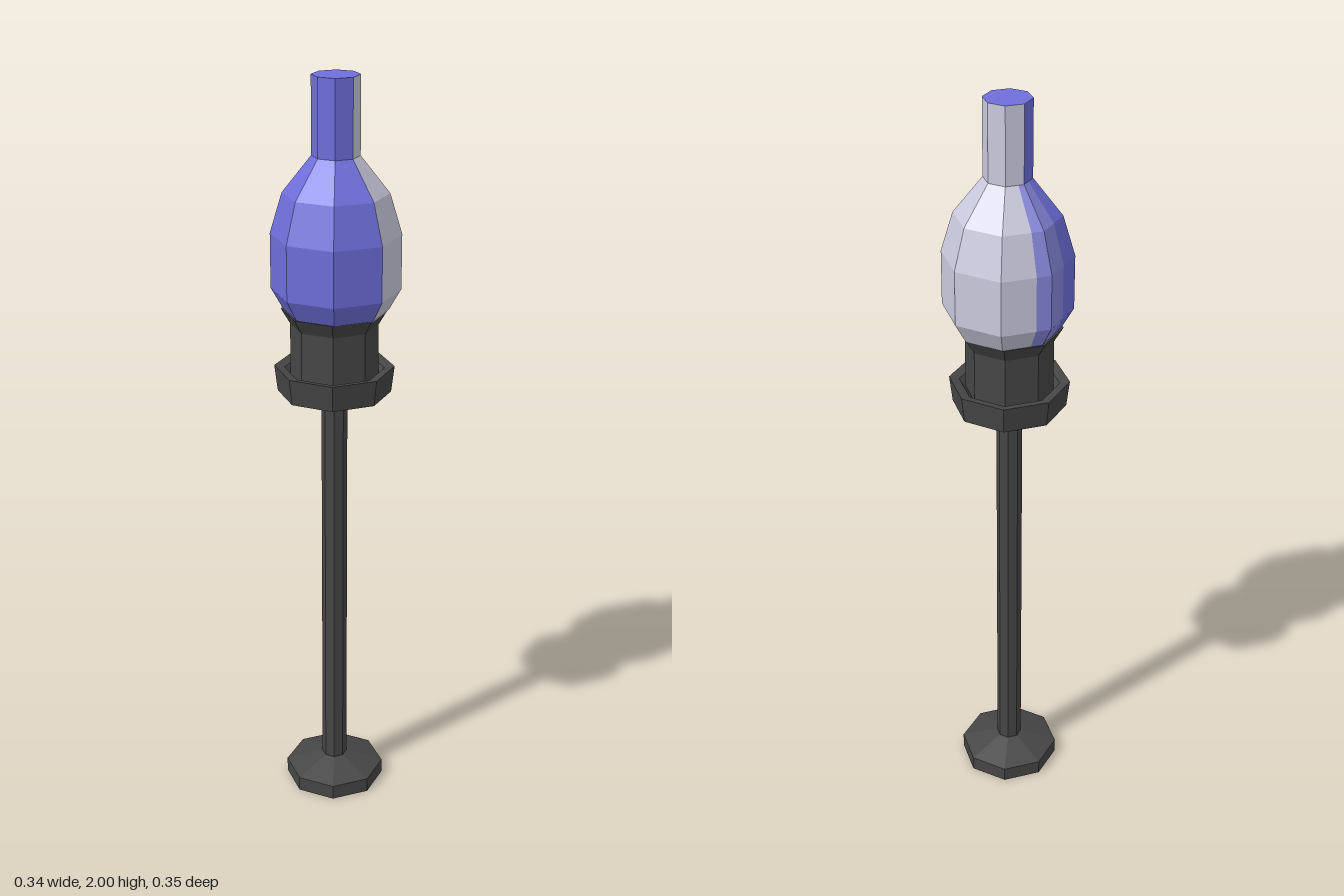
import * as THREE from 'three';

const SQUASH = 0.95; // every octagon is a little narrower in x than in z

// Point on a unit octagon; t counts corners, starting at +z and turning toward +x
function octagon(t) {
  const i = Math.floor(t), f = t - i;
  const a = (i * Math.PI) / 4, b = ((i + 1) * Math.PI) / 4;
  return [
    SQUASH * (Math.sin(a) * (1 - f) + Math.sin(b) * f),
    Math.cos(a) * (1 - f) + Math.cos(b) * f,
  ];
}

// Flat facets swept from corner t0 to corner t1 along a [radius, height] profile, bottom first
function facets(profile, t0 = 0, t1 = 8) {
  const stops = [t0];
  for (let t = Math.floor(t0) + 1; t < t1; t++) stops.push(t);
  stops.push(t1);
  const pos = [];
  for (let s = 0; s < stops.length - 1; s++) {
    const p = octagon(stops[s]);
    // approach the end from inside its own facet
    const q = octagon(stops[s + 1]);
    for (let k = 0; k < profile.length - 1; k++) {
      const [r0, y0] = profile[k], [r1, y1] = profile[k + 1];
      const a = [p[0] * r0, y0, p[1] * r0], b = [q[0] * r0, y0, q[1] * r0];
      const c = [q[0] * r1, y1, q[1] * r1], d = [p[0] * r1, y1, p[1] * r1];
      if (r0 > 0) pos.push(...a, ...b, ...c);
      if (r1 > 0) pos.push(...a, ...c, ...d);
    }
  }
  const g = new THREE.BufferGeometry();
  g.setAttribute('position', new THREE.Float32BufferAttribute(pos, 3));
  g.computeVertexNormals();
  return g;
}

export function createModel() {
  const root = new THREE.Group();
  const material = (name, color) => {
    const m = new THREE.MeshStandardMaterial({ color });
    m.name = name;
    return m;
  };
  const iron = material('dark iron', 0x464646);
  const blue = material('blue glass', 0x6e6edb);
  const paleBlue = material('pale blue glass', 0x8888de);
  const silver = material('silver glass', 0xcacade);

  const add = (name, geometry, mat, parent) => {
    const mesh = new THREE.Mesh(geometry, mat);
    mesh.name = name;
    parent.add(mesh);
  };

  // Stand: foot, pole and the cup with its collar
  const stand = new THREE.Group();
  stand.name = 'stand';
  stand.position.x = -0.004;
  root.add(stand);
  add('foot', facets([[0, 0], [0.143, 0], [0.143, 0.04], [0.04, 0.07], [0, 0.07]]), iron, stand);
  add('pole', facets([[0.036, 0.05], [0.036, 1.16]]), iron, stand);
  add('collar', facets([
    [0, 1.137], [0.036, 1.137], [0.157, 1.175], [0.166, 1.245], [0.138, 1.24], [0.116, 1.215],
  ]), iron, stand);
  add('cup', facets([[0.121, 1.21], [0.121, 1.36], [0.146, 1.4], [0.12, 1.395], [0, 1.395]]), iron, stand);

  // Bulb: belly in three vertical colour bands
  const bulb = new THREE.Group();
  bulb.name = 'bulb';
  root.add(bulb);
  const belly = [[0.125, 1.38], [0.144, 1.4], [0.177, 1.455], [0.177, 1.6], [0.144, 1.705], [0.065, 1.8]];
  add('bellySilver', facets(belly, 1, 4.7), silver, bulb);
  add('bellyPaleBlue', facets(belly, 4.7, 5.5), paleBlue, bulb);
  add('bellyBlue', facets(belly, 5.5, 9), blue, bulb);

  // Neck in two colours, closed by a blue cap
  const neck = [[0.065, 1.8], [0.065, 2]];
  add('neckSilver', facets(neck, 1, 5), silver, bulb);
  add('neckBlue', facets(neck, 5, 9), blue, bulb);
  add('neckCap', facets([[0.065, 2], [0, 2]]), blue, bulb);

  return root;
}
